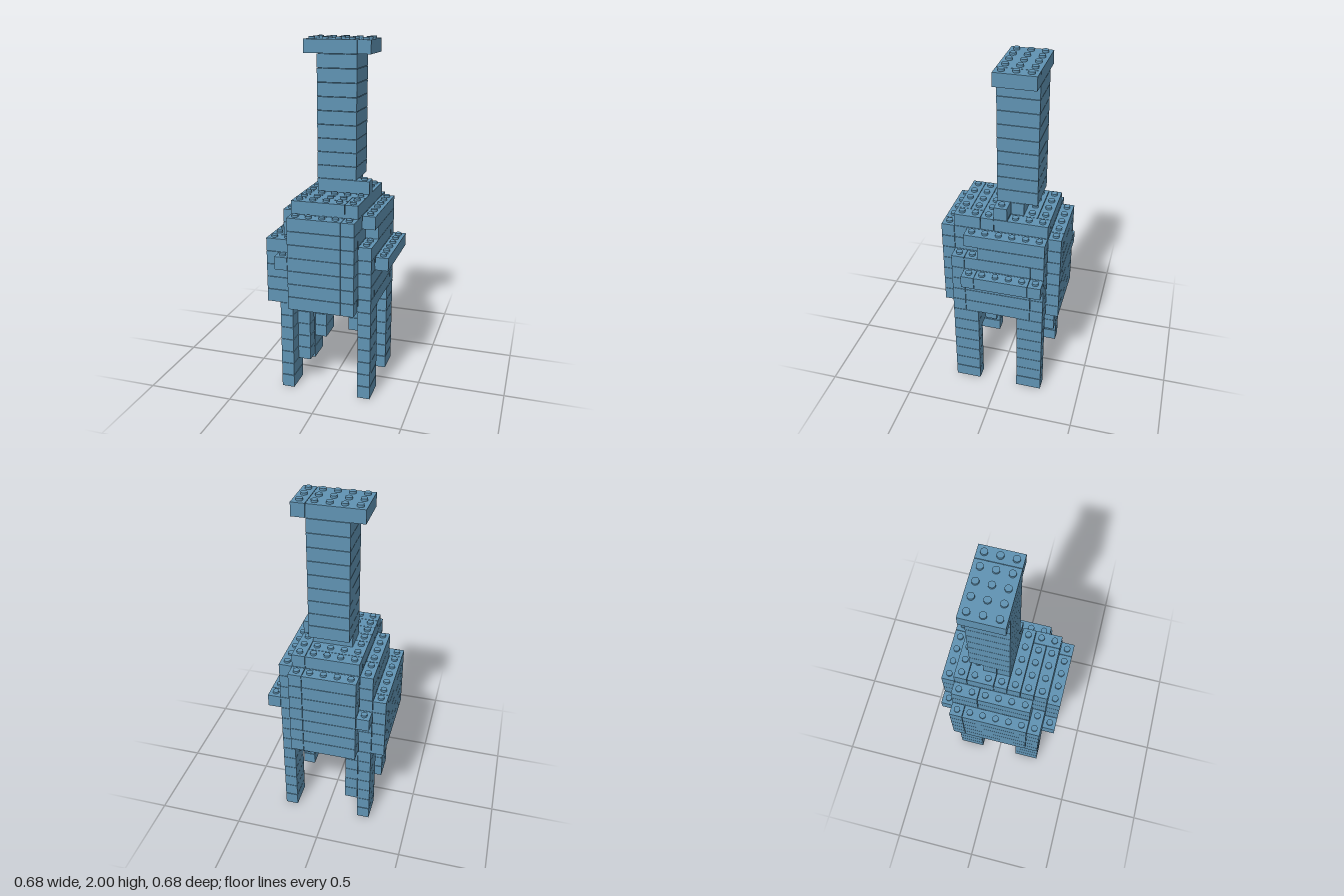
import * as THREE from 'three';
import { mergeGeometries } from 'three/addons/utils/BufferGeometryUtils.js';

const P = 0.0763;    // stud pitch
const H = 0.0765;    // layer height
const GAP = 0.0025;  // joint between bricks
const STUD_R = 0.0178, STUD_H = 0.011;

// Blocks are given in stud cells: [x from, x to, z from, z to, layer from, layer to], all inclusive.
const PARTS = {
  frontLeftLeg: [[3, 3, 2, 3, 0, 6], [2, 2, 2, 2, 5, 6]],
  frontRightLeg: [[-3, -3, 2, 3, 0, 6], [-2, -2, 2, 2, 2, 6]],
  backLeftLeg: [[3, 3, -3, -2, 0, 6], [2, 2, -2, -2, 5, 6]],
  backRightLeg: [[-3, -3, -3, -2, 0, 6], [-2, -2, -3, -2, 2, 6]],
  bodyCore: [[-2, 1, -3, 3, 7, 13], [2, 2, -3, 3, 7, 13]],
  chest: [[-2, 1, 4, 4, 7, 13], [2, 2, 4, 4, 7, 13], [-3, -3, 4, 4, 10, 10]],
  rump: [[-2, 1, -4, -4, 7, 13], [2, 2, -4, -4, 7, 13], [-3, -3, -4, -4, 10, 10]],
  leftFlank: [
    [3, 3, 3, 3, 7, 11], [3, 3, -2, 2, 7, 11], [3, 3, -3, -3, 7, 11],
    [3, 3, -3, 1, 12, 12], [3, 3, -3, 2, 13, 13],
  ],
  leftRail: [[4, 4, 2, 2, 10, 10], [4, 4, -2, 1, 10, 10], [4, 4, -3, -3, 10, 10]],
  rightFlank: [
    [-4, -3, 3, 3, 7, 11], [-4, -4, -2, 2, 7, 11], [-4, -4, -3, -3, 7, 11],
    [-3, -3, -3, 2, 7, 11], [-3, -3, -1, 2, 12, 13], [-3, -3, -3, -2, 12, 13],
  ],
  back: [
    [-2, 1, -3, -3, 14, 14], [-2, 1, -2, -1, 14, 14], [-2, 2, 0, 0, 14, 14],
    [-2, 2, 1, 1, 14, 14], [-2, 1, 2, 2, 14, 14], [-2, 1, 3, 3, 14, 14],
    [2, 2, -3, -1, 14, 14], [2, 2, 2, 3, 14, 14],
  ],
  neckBase: [[-1, 2, 0, 0, 15, 15], [-1, 1, -1, -1, 15, 15]],
  neck: [[-1, 1, -2, 0, 16, 24]],
  head: [[-2, 1, -2, 0, 25, 25], [2, 2, -2, 0, 25, 25]],
};

const key = (x, z, k) => `${x},${z},${k}`;

function eachCell([x0, x1, z0, z1], visit) {
  for (let x = x0; x <= x1; x++) for (let z = z0; z <= z1; z++) visit(x, z);
}

// One brick, one layer high
function brick([x0, x1, z0, z1], k) {
  const g = new THREE.BoxGeometry((x1 - x0 + 1) * P - GAP, H - GAP, (z1 - z0 + 1) * P - GAP);
  return g.translate(((x0 + x1) / 2) * P, k * H + (H - GAP) / 2 + (k ? GAP / 2 : 0), ((z0 + z1) / 2) * P);
}

function stud(x, z, k) {
  const sunk = 0.004;
  const g = new THREE.CylinderGeometry(STUD_R, STUD_R, STUD_H + sunk, 18);
  return g.translate(x * P, (k + 1) * H + (STUD_H - sunk) / 2, z * P);
}

export function createModel() {
  const group = new THREE.Group();
  group.name = 'brickAnimal';
  const blue = new THREE.MeshStandardMaterial({ color: 0x6093b3 });
  blue.name = 'steelBlue';

  // Occupied cells, so studs appear only where nothing sits on them
  const filled = new Set();
  for (const blocks of Object.values(PARTS)) {
    for (const b of blocks) {
      for (let k = b[4]; k <= b[5]; k++) eachCell(b, (x, z) => filled.add(key(x, z, k)));
    }
  }

  for (const [name, blocks] of Object.entries(PARTS)) {
    const bricks = [], studs = [];
    for (const b of blocks) {
      for (let k = b[4]; k <= b[5]; k++) bricks.push(brick(b, k));
      eachCell(b, (x, z) => {
        if (!filled.has(key(x, z, b[5] + 1))) studs.push(stud(x, z, b[5]));
      });
    }
    const part = new THREE.Group();
    part.name = name;
    const add = (list, label) => {
      if (!list.length) return;
      const mesh = new THREE.Mesh(mergeGeometries(list), blue);
      mesh.name = name + label;
      part.add(mesh);
    };
    add(bricks, 'Bricks');
    add(studs, 'Studs');
    group.add(part);
  }
  return group;
}
